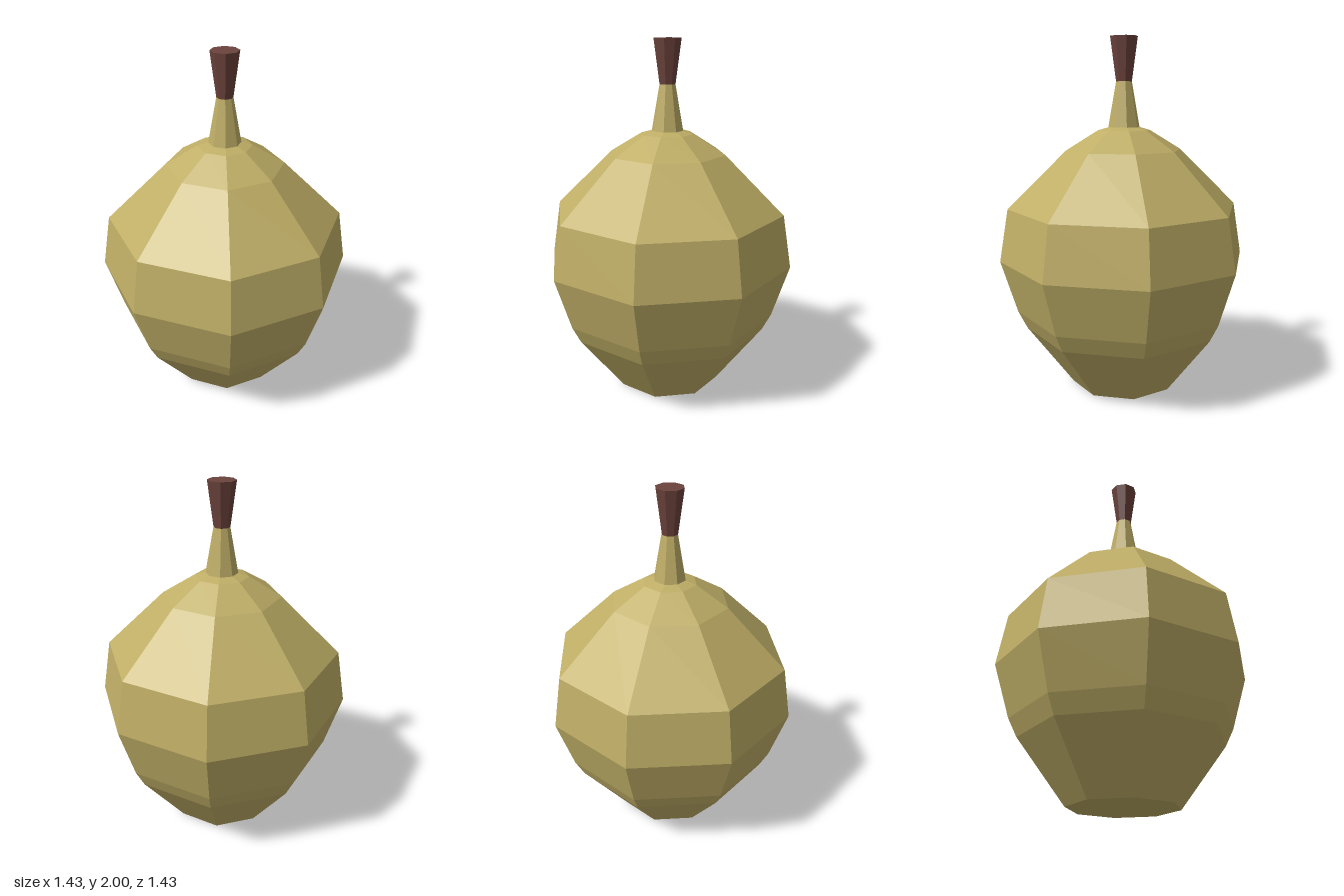
import * as THREE from 'three';

const SIDES = 8;

// Eight-sided turned part from [radius, height] pairs, listed bottom to top
function turned(name, profile, color) {
  const points = profile.map(([r, y]) => new THREE.Vector2(r, y));
  const material = new THREE.MeshStandardMaterial({ color, flatShading: true });
  const mesh = new THREE.Mesh(new THREE.LatheGeometry(points, SIDES), material);
  mesh.name = name;
  return mesh;
}

export function createModel() {
  const group = new THREE.Group();
  group.name = 'gourd';
  const skin = 0xbfae66;

  // Faceted bulb with a flat base and domed shoulder
  group.add(turned('body', [
    [0, 0], [0.305, 0], [0.57, 0.35], [0.62, 0.45], [0.713, 0.75],
    [0.663, 1.05], [0.33, 1.375], [0.15, 1.485], [0.08, 1.505], [0, 1.505],
  ], skin));

  // Tapered neck rising from the shoulder
  group.add(turned('neck', [[0.09, 1.5], [0.045, 1.755]], skin));

  // Dark stem flaring towards a flat cut end
  group.add(turned('stem', [[0, 1.755], [0.045, 1.755], [0.078, 2], [0, 2]], 0x6b423c));

  return group;
}
